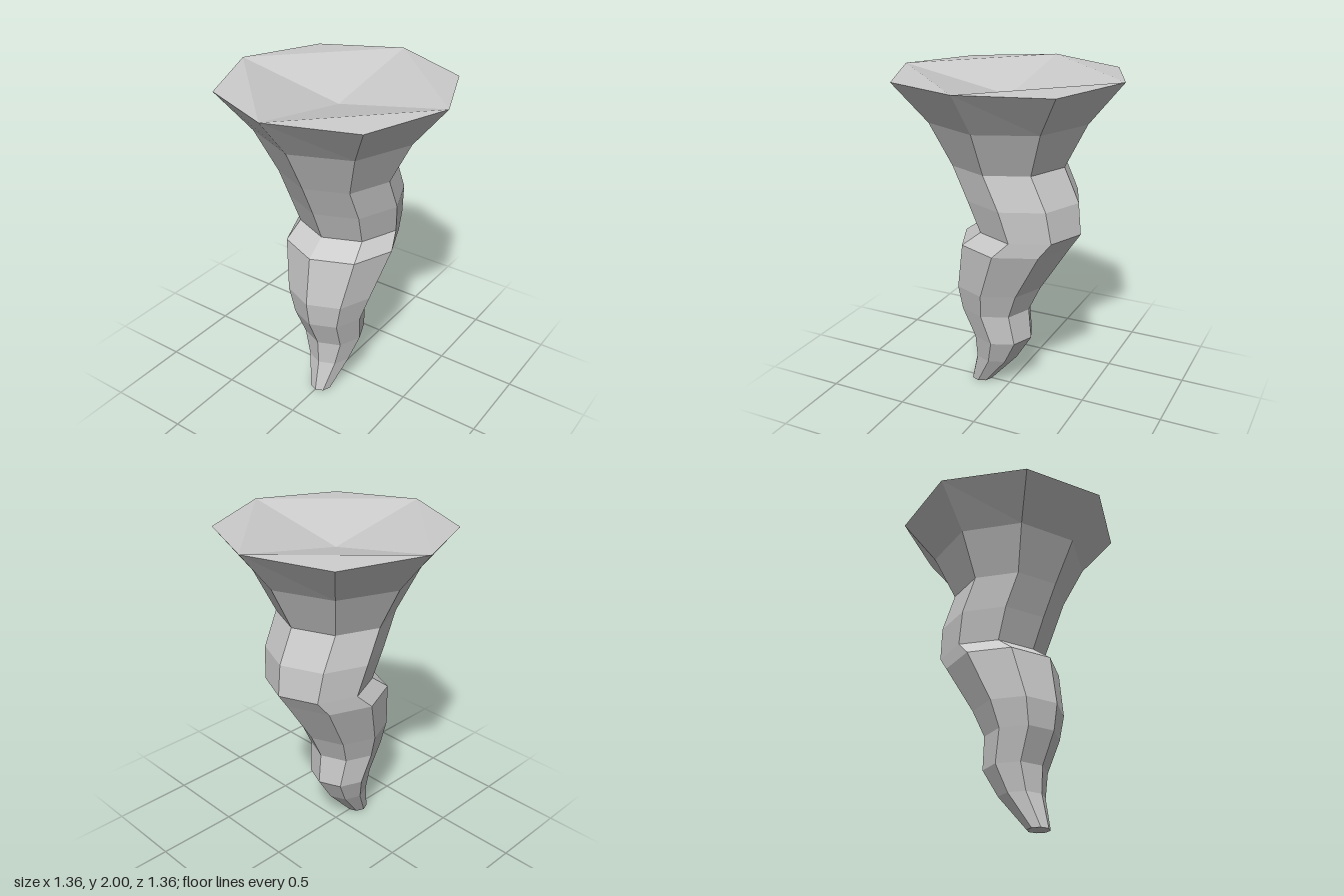
import * as THREE from 'three';

const SIDES = 8;

// Octagonal cross-sections: height, x offset, radius
const RINGS = [
  [0.00, -0.195, 0.067],
  [0.20, -0.085, 0.135],
  [0.36, -0.04, 0.188],
  [0.55, -0.09, 0.22],
  [0.71, -0.065, 0.27],
  [1.01, 0.05, 0.345],
  [1.10, 0.14, 0.315],
  [1.29, 0.092, 0.345],
  [1.49, 0.00, 0.345],
  [1.75, 0.00, 0.477],
  [2.00, 0.00, 0.68],
];

function ringPoint(ring, i) {
  const [y, cx, r] = ring;
  const a = (i / SIDES) * Math.PI * 2;
  // the rim sags slightly at its diagonal corners
  const sag = y === 2 && i % 2 ? 0.013 : 0;
  return [cx + r * Math.cos(a), y - sag, r * Math.sin(a)];
}

function facetedMesh(name, triangles) {
  const geometry = new THREE.BufferGeometry();
  geometry.setAttribute('position', new THREE.Float32BufferAttribute(triangles.flat(2), 3));
  geometry.computeVertexNormals();
  const material = new THREE.MeshStandardMaterial({ color: 0xcccccc, flatShading: true });
  const mesh = new THREE.Mesh(geometry, material);
  mesh.name = name;
  return mesh;
}

export function createModel() {
  const group = new THREE.Group();
  group.name = 'twistedFunnel';

  // Winding, flaring body
  const body = [];
  for (let k = 0; k < RINGS.length - 1; k++) {
    for (let i = 0; i < SIDES; i++) {
      const a = ringPoint(RINGS[k], i);
      const b = ringPoint(RINGS[k + 1], i);
      const c = ringPoint(RINGS[k + 1], i + 1);
      const d = ringPoint(RINGS[k], i + 1);
      body.push([a, b, c], [a, c, d]);
    }
  }
  group.add(facetedMesh('body', body));

  // Shallow sunken top: four sloping planes, each with an outer corner
  const top = [];
  const rim = RINGS[RINGS.length - 1];
  const middle = [0, 1.87, 0];
  for (let i = 0; i < SIDES; i += 2) {
    const a = ringPoint(rim, i);
    const corner = ringPoint(rim, i + 1);
    const b = ringPoint(rim, i + 2);
    top.push([middle, b, a], [a, b, corner]);
  }
  group.add(facetedMesh('sunkenTop', top));

  // Flat tip
  const tip = [];
  for (let i = 0; i < SIDES; i++) {
    tip.push([[RINGS[0][1], 0, 0], ringPoint(RINGS[0], i), ringPoint(RINGS[0], i + 1)]);
  }
  group.add(facetedMesh('tip', tip));

  return group;
}
